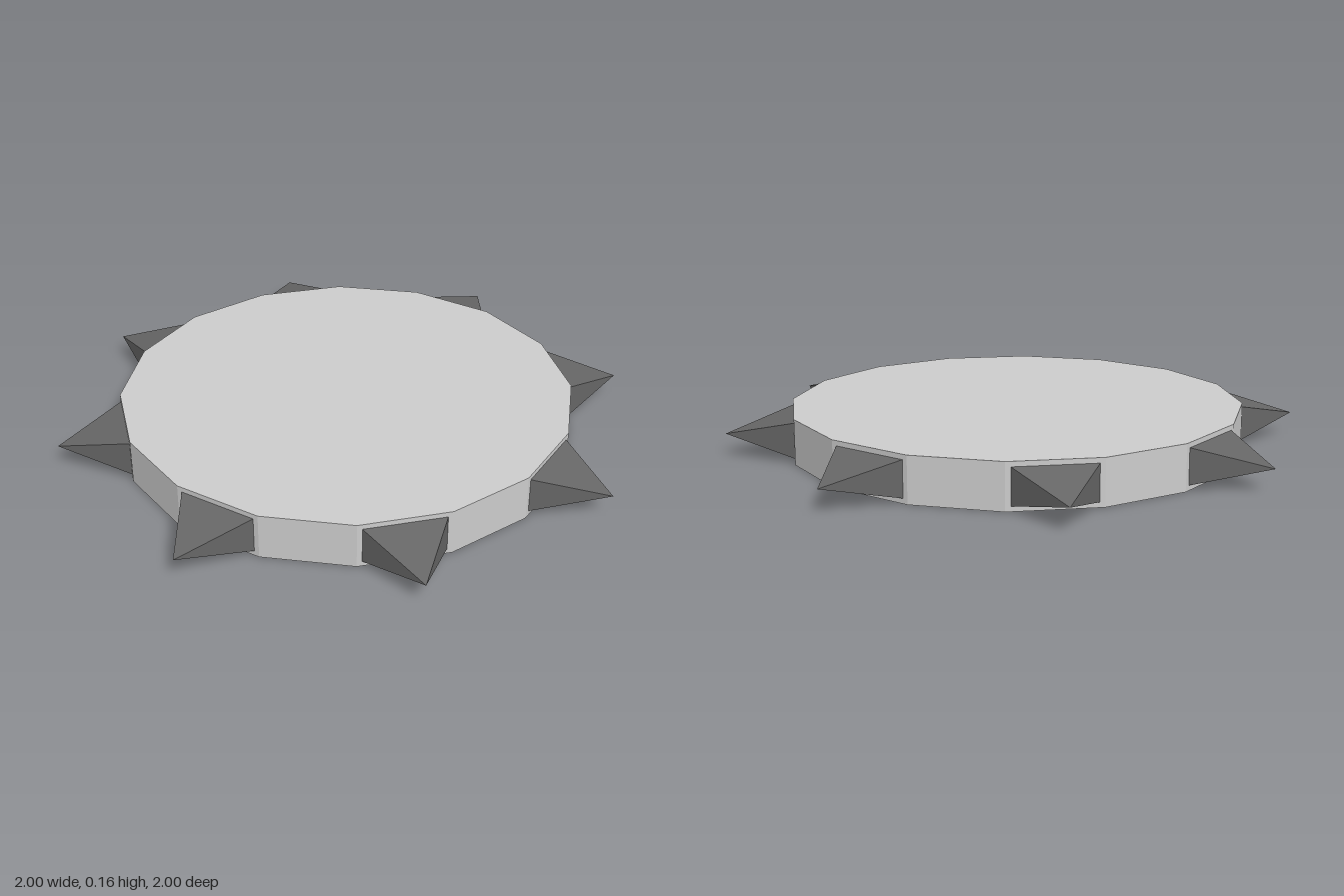
import * as THREE from 'three';

const SIDES = 16, RADIUS = 0.8, HEIGHT = 0.16, TIP = 1.0196;

export function createModel() {
  const model = new THREE.Group();
  model.name = 'spikedDisc';

  // Flat sixteen-sided disc
  const discMaterial = new THREE.MeshStandardMaterial({ color: 0xcccccc, flatShading: true });
  const disc = new THREE.Mesh(new THREE.CylinderGeometry(RADIUS, RADIUS, HEIGHT, SIDES), discMaterial);
  disc.name = 'disc';
  disc.position.y = HEIGHT / 2;
  model.add(disc);

  // Rectangular-based pyramid pointing along +z, its base on the rim face
  const apothem = RADIUS * Math.cos(Math.PI / SIDES);
  const spikeGeometry = new THREE.ConeGeometry(Math.SQRT1_2, 1, 4, 1, false, Math.PI / 4);
  spikeGeometry.translate(0, 0.5, 0).rotateX(Math.PI / 2);
  spikeGeometry.scale(0.277, 0.125, TIP - apothem);
  spikeGeometry.translate(0, 0, apothem);
  const spikeMaterial = new THREE.MeshStandardMaterial({ color: 0x666666, flatShading: true });

  // One spike on every second rim face
  for (let i = 0; i < SIDES / 2; i++) {
    const spike = new THREE.Mesh(spikeGeometry, spikeMaterial);
    spike.name = `spike${i + 1}`;
    spike.position.y = HEIGHT / 2;
    spike.rotation.y = (2 * i + 0.5) * (2 * Math.PI / SIDES);
    model.add(spike);
  }
  return model;
}
